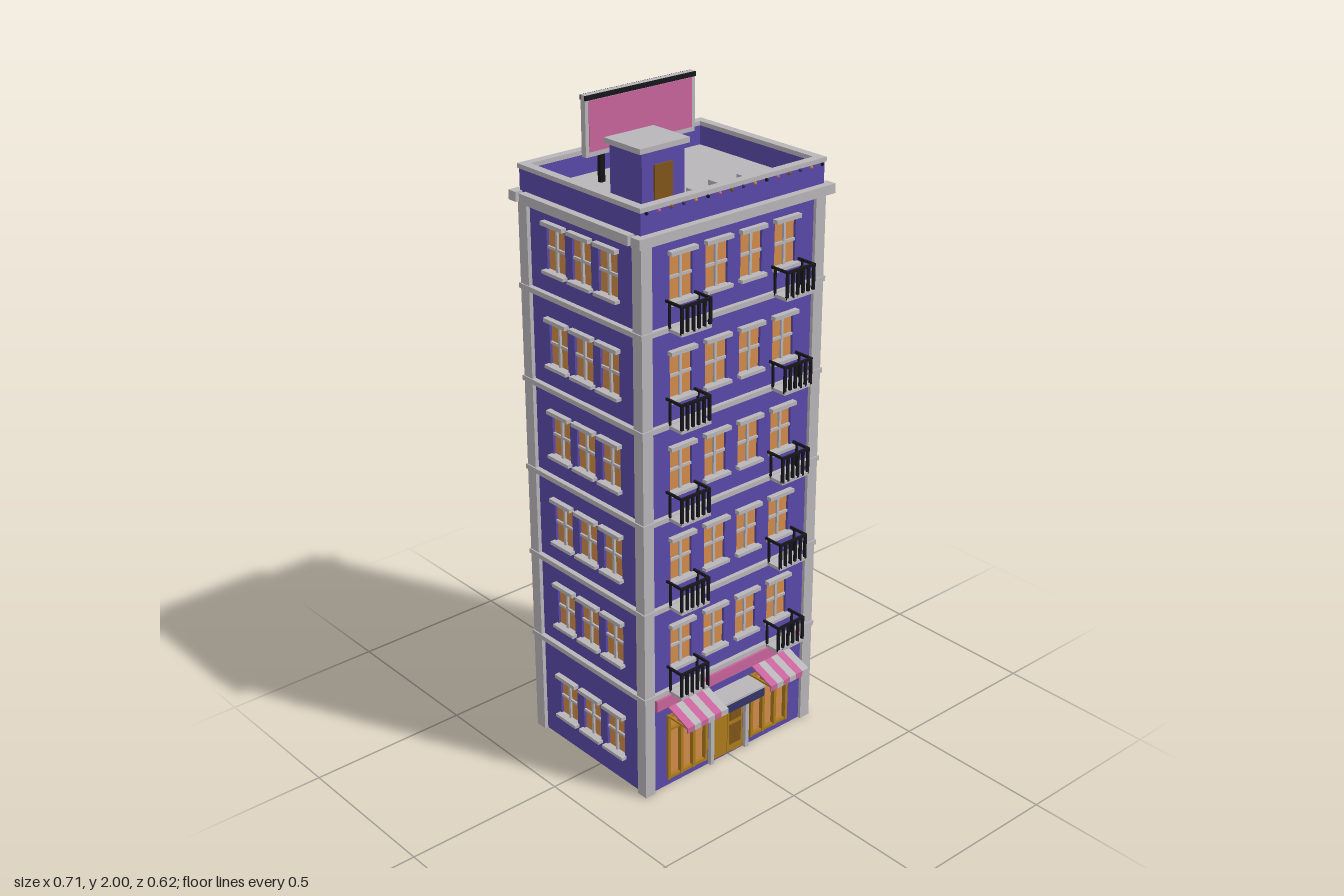
import * as THREE from 'three';

const mat = (name, color, side = THREE.FrontSide) => {
  const m = new THREE.MeshStandardMaterial({ color, side });
  m.name = name;
  return m;
};
const M = {
  wall: mat('purple wall', 0x5a49aa),
  trim: mat('grey stone', 0xb9b6b9),
  glass: mat('warm orange glass', 0xd28c4a),
  pink: mat('pink', 0xc8649c),
  dark: mat('black iron', 0x17171c),
  gold: mat('golden wood', 0xac7a1c),
  brown: mat('brown wood', 0x80551a),
  navy: mat('dark blue', 0x35356a),
};

// Box given by its limits on each axis
function box(parent, name, m, x0, x1, y0, y1, z0, z1) {
  const mesh = new THREE.Mesh(new THREE.BoxGeometry(x1 - x0, y1 - y0, z1 - z0), m);
  mesh.position.set((x0 + x1) / 2, (y0 + y1) / 2, (z0 + z1) / 2);
  mesh.name = name;
  parent.add(mesh);
  return mesh;
}
function group(parent, name) {
  const g = new THREE.Group();
  g.name = name;
  parent.add(g);
  return g;
}

const ZC = -0.036;               // middle of the building in z
const WX = 0.323, WZ = 0.25;     // half size to the wall faces
const PX = 0.335, PZ = 0.26;     // half size to the pilaster faces
const WALL_TOP = 1.735;
const belts = [0, 1, 2, 3, 4].map(i => 0.334 + i * 0.2815);
const sills = [0.088, ...belts.map(y => y + 0.072)];
const WIN_W = 0.08, WIN_H = 0.133;

// One wall in its own frame: x along the wall, z outward from its face
function facade(name, half, columns, rows, extraHoles = []) {
  const g = new THREE.Group();
  g.name = name;
  const shape = new THREE.Shape([[-half, 0], [half, 0], [half, WALL_TOP], [-half, WALL_TOP]].map(p => new THREE.Vector2(...p)));
  const hole = (x0, x1, y0, y1) => shape.holes.push(
    new THREE.Path([[x0, y0], [x0, y1], [x1, y1], [x1, y0]].map(p => new THREE.Vector2(...p))));
  extraHoles.forEach(h => hole(...h));
  for (const y of rows) for (const x of columns) {
    const w = WIN_W / 2;
    hole(x - w, x + w, y, y + WIN_H);
    const win = group(g, 'window');
    box(win, 'pane', M.glass, x - w, x + w, y, y + WIN_H, -0.014, -0.008);
    box(win, 'mullion', M.trim, x - 0.004, x + 0.004, y, y + WIN_H, -0.012, -0.001);
    box(win, 'transom', M.trim, x - w, x + w, y + 0.062, y + 0.07, -0.012, -0.002);
    box(win, 'lintel', M.trim, x - w - 0.007, x + w + 0.007, y + WIN_H - 0.002, y + WIN_H + 0.01, -0.01, 0.017);
    box(win, 'sill', M.trim, x - w - 0.007, x + w + 0.007, y - 0.008, y + 0.002, -0.01, 0.017);
  }
  const wall = new THREE.Mesh(new THREE.ExtrudeGeometry(shape, { depth: 0.02, bevelEnabled: false }), M.wall);
  wall.position.z = -0.02;
  wall.name = 'wall';
  g.add(wall);
  return g;
}

// Four bars forming a rectangular ring around the building
function ring(parent, name, m, hx, hz, t, y0, y1) {
  const g = group(parent, name);
  for (const s of [-1, 1]) {
    const zo = ZC + s * hz, zi = ZC + s * (hz - t), xo = s * hx, xi = s * (hx - t);
    box(g, 'long bar', m, -hx, hx, y0, y1, Math.min(zo, zi), Math.max(zo, zi));
    box(g, 'short bar', m, Math.min(xo, xi), Math.max(xo, xi), y0, y1, ZC - hz + t, ZC + hz - t);
  }
}

function balcony(parent, x, y) {
  const g = group(parent, 'balcony'), w = 0.054, zf = 0.28, top = y + 0.082;
  box(g, 'slab', M.trim, x - w, x + w, y - 0.005, y + 0.005, 0.21, zf);
  box(g, 'front rail', M.dark, x - w, x + w, top - 0.008, top, zf - 0.007, zf);
  for (let i = 0; i < 6; i++) {
    const bx = x - w + 0.004 + i * (2 * w - 0.008) / 5;
    box(g, 'baluster', M.dark, bx - 0.004, bx + 0.004, y, top, zf - 0.007, zf);
  }
  for (const s of [-1, 1]) {
    const rx = x + s * (w - 0.003);
    box(g, 'side rail', M.dark, rx - 0.003, rx + 0.003, top - 0.007, top, 0.214, zf);
    box(g, 'wall post', M.dark, rx - 0.003, rx + 0.003, y, top, 0.226, 0.232);
  }
}

// Sloping striped awning with a short valance
function awning(parent, x0, x1) {
  const g = group(parent, 'awning'), w = (x1 - x0) / 6;
  const profile = new THREE.Shape([[0.214, 0.283], [0.308, 0.248], [0.308, 0.23], [0.303, 0.23], [0.303, 0.244], [0.214, 0.277]]
    .map(p => new THREE.Vector2(...p)));
  const geo = new THREE.ExtrudeGeometry(profile, { depth: w, bevelEnabled: false });
  geo.rotateY(-Math.PI / 2);
  for (let i = 0; i < 6; i++) {
    const s = new THREE.Mesh(geo, i % 2 ? M.trim : M.pink);
    s.position.x = x0 + (i + 1) * w;
    s.name = 'awning stripe';
    g.add(s);
  }
  for (const x of [x0 + 0.004, x1 - 0.004])
    box(g, 'awning arm', M.gold, x - 0.003, x + 0.003, 0.242, 0.247, 0.214, 0.303);
}

function shopWindow(parent, x0, x1) {
  const g = group(parent, 'shopWindow'), y0 = 0.022, y1 = 0.245, z0 = 0.2, z1 = 0.222;
  box(g, 'shop glass', M.glass, x0, x1, y0, y1, 0.2, 0.208);
  for (let i = 0; i < 4; i++) {
    const x = x0 + 0.005 + i * (x1 - x0 - 0.01) / 3;
    box(g, 'upright', M.gold, x - 0.005, x + 0.005, y0, y1, z0, z1);
  }
  for (const y of [y0, 0.19, y1 - 0.01]) box(g, 'crossbar', M.gold, x0, x1, y, y + 0.009, z0, z1 - 0.002);
}

export function createModel() {
  const model = new THREE.Group();
  model.name = 'apartment building';
  const cols4 = [-0.19, -0.063, 0.063, 0.19], cols3 = [-0.111, 0, 0.111];

  // Hollow walls with windows
  const front = facade('frontWall', WX, cols4, sills.slice(1),
    [[-0.246, -0.09, 0.022, 0.245], [-0.066, 0.06, 0.004, 0.228], [0.086, 0.242, 0.022, 0.245]]);
  front.position.z = ZC + WZ;
  const back = facade('backWall', WX, cols4, sills);
  back.position.z = ZC - WZ;
  back.rotation.y = Math.PI;
  model.add(front, back);
  for (const s of [-1, 1]) {
    const side = facade(s > 0 ? 'leftWall' : 'rightWall', WZ - 0.02, cols3, sills);
    side.position.set(s * WX, 0, ZC);
    side.rotation.y = s * Math.PI / 2;
    model.add(side);
  }

  // Corner pilasters, floor belts and cornice
  for (const sx of [-1, 1]) for (const sz of [-1, 1]) {
    const x = sx * (PX - 0.0185), z = ZC + sz * (PZ - 0.0185);
    box(model, 'cornerPilaster', M.trim, x - 0.0185, x + 0.0185, 0, 1.72, z - 0.0185, z + 0.0185);
  }
  for (const y of belts) ring(model, 'floorBelt', M.trim, PX + 0.004, PZ + 0.004, 0.03, y - 0.008, y + 0.007);
  box(model, 'frontCornice', M.trim, -0.354, 0.354, 1.71, 1.738, 0.205, 0.241);
  box(model, 'backCornice', M.trim, -0.354, 0.354, 1.71, 1.738, -0.312, -0.28);
  for (const s of [-1, 1])
    box(model, 'sideCornice', M.trim, s > 0 ? 0.315 : -0.354, s > 0 ? 0.354 : -0.315, 1.71, 1.738, -0.265, 0.194);

  // Roof deck and parapet
  box(model, 'roofDeck', M.trim, -0.32, 0.32, 1.725, 1.742, ZC - 0.245, ZC + 0.245);
  ring(model, 'parapet', M.wall, 0.331, 0.254, 0.02, 1.735, 1.802);
  ring(model, 'coping', M.trim, 0.335, 0.258, 0.027, 1.8, 1.813);

  // String of coloured lamps along the front parapet
  const bulbs = [M.dark, M.pink, M.brown, M.navy, M.glass];
  for (let i = 0; i < 16; i++) {
    const b = new THREE.Mesh(new THREE.SphereGeometry(0.005, 8, 6), bulbs[i % 5]);
    b.position.set(-0.316 + i * 0.0421, 1.797, 0.225);
    b.name = 'lamp';
    model.add(b);
  }

  // Stair house
  const stair = group(model, 'stairHouse');
  box(stair, 'stair walls', M.wall, -0.252, -0.105, 1.74, 1.922, 0.003, 0.132);
  box(stair, 'stair roof', M.trim, -0.264, -0.093, 1.92, 1.935, -0.006, 0.139);
  box(stair, 'stair door', M.brown, -0.212, -0.15, 1.742, 1.882, 0.13, 0.137);

  // Roof units
  for (const [x, z] of [[-0.026, 0.105], [0.065, 0.092], [0.157, 0.105]])
    box(model, 'roofUnit', M.trim, x - 0.03, x + 0.03, 1.74, 1.775, z - 0.022, z + 0.022);

  // Billboard on two posts
  const sign = group(model, 'billboard');
  box(sign, 'board', M.trim, -0.198, 0.196, 1.828, 2, -0.183, -0.165);
  box(sign, 'poster', M.pink, -0.186, 0.183, 1.842, 1.984, -0.167, -0.163);
  box(sign, 'front cap', M.dark, -0.199, 0.197, 1.986, 1.9995, -0.167, -0.161);
  box(sign, 'back cap', M.dark, -0.199, 0.197, 1.986, 1.9995, -0.186, -0.182);
  for (const x of [-0.128, 0.127]) box(sign, 'post', M.dark, x - 0.008, x + 0.008, 1.74, 1.965, -0.193, -0.18);

  // Balconies
  for (const y of belts) for (const x of [-0.192, 0.192]) balcony(model, x, y);

  // Shop front
  box(model, 'shopSign', M.pink, -0.294, 0.294, 0.284, 0.32, 0.21, 0.229);
  awning(model, -0.246, -0.088);
  awning(model, 0.086, 0.242);
  shopWindow(model, -0.246, -0.09);
  shopWindow(model, 0.086, 0.242);

  // Entrance with double door and canopy
  const door = group(model, 'entrance');
  box(door, 'door backing', M.glass, -0.066, 0.06, 0.002, 0.228, 0.198, 0.204);
  box(door, 'left leaf', M.gold, -0.003, 0.06, 0.002, 0.226, 0.204, 0.214);
  box(door, 'right leaf', M.gold, -0.066, -0.005, 0.002, 0.226, 0.204, 0.214);
  for (const [y0, y1] of [[0.03, 0.1], [0.115, 0.19]]) box(door, 'door panel', M.brown, 0.006, 0.05, y0, y1, 0.212, 0.217);
  for (const x of [-0.074, 0.068]) box(door, 'door jamb', M.trim, x - 0.007, x + 0.007, 0, 0.23, 0.21, 0.226);
  box(door, 'canopy', M.navy, -0.08, 0.078, 0.21, 0.24, 0.21, 0.287);
  box(door, 'canopy top', M.trim, -0.082, 0.08, 0.24, 0.247, 0.21, 0.289);

  return model;
}
